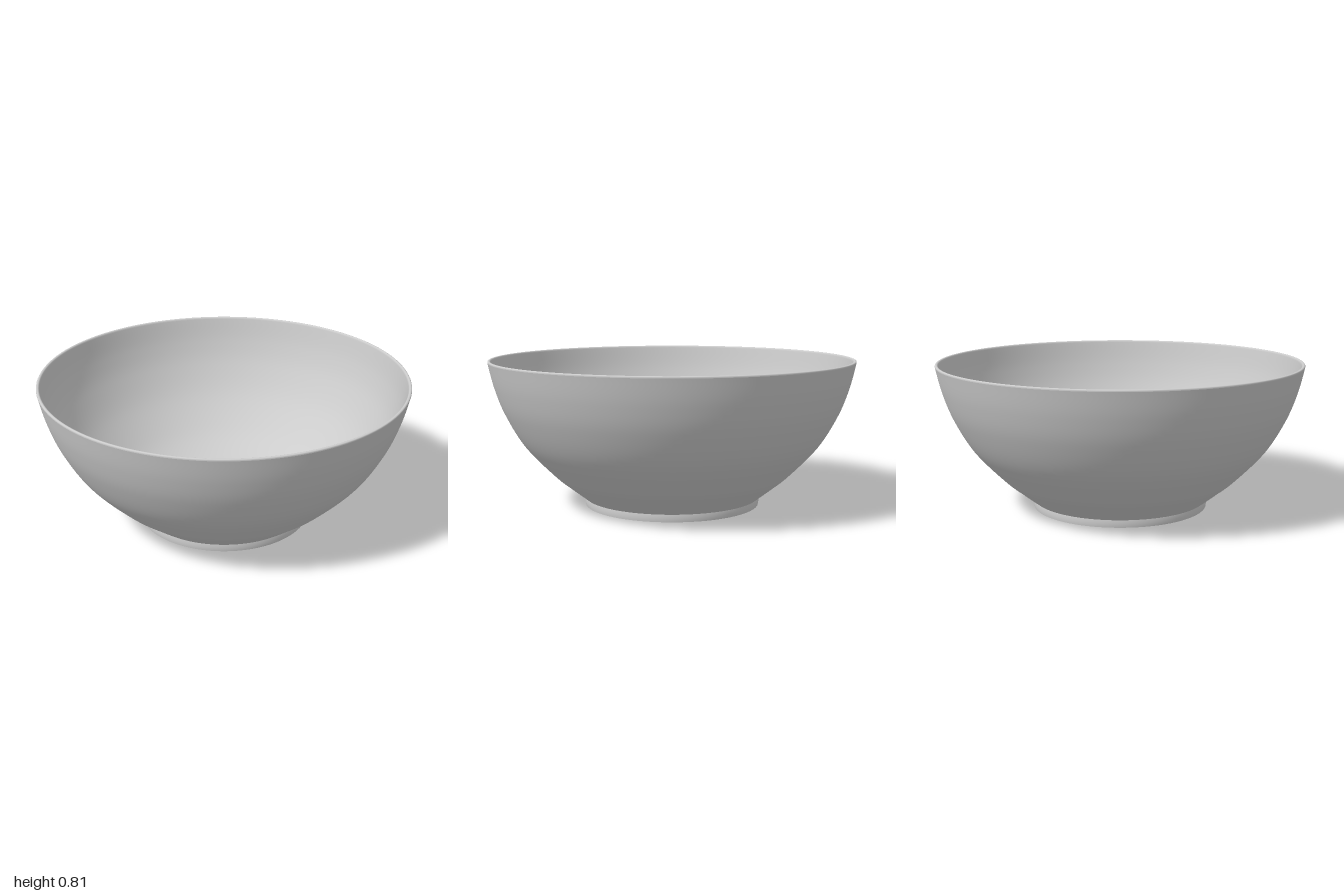
import * as THREE from 'three';

const material = new THREE.MeshStandardMaterial({ color: 0xcccccc });
const vec = ([r, y]) => new THREE.Vector2(r, y);

// Turn a profile around the y axis; separate meshes keep the creases sharp
function turned(name, points) {
  const mesh = new THREE.Mesh(new THREE.LatheGeometry(points, 128), material);
  mesh.name = name;
  return mesh;
}

const smooth = (points, n) => new THREE.SplineCurve(points.map(vec)).getPoints(n);

export function createModel() {
  const bowl = new THREE.Group();
  bowl.name = 'bowl';

  // Foot: flat underside and a short straight ring
  bowl.add(turned('footUnderside', [[0, 0], [0.48, 0]].map(vec)));
  bowl.add(turned('footRing', [[0.48, 0], [0.483, 0.02], [0.48, 0.04]].map(vec)));

  // Outer wall, flaring up to the rim
  bowl.add(turned('outerWall', smooth([
    [0.48, 0.04], [0.57, 0.11], [0.66, 0.185], [0.81, 0.345],
    [0.91, 0.515], [0.965, 0.66], [0.998, 0.795],
  ], 40)));

  // Thin rounded lip
  bowl.add(turned('rim', smooth([
    [0.998, 0.795], [0.997, 0.802], [0.99, 0.805], [0.983, 0.802], [0.98, 0.795],
  ], 10)));

  // Inside, running down to a gently flattened floor
  bowl.add(turned('innerWall', smooth([
    [0.98, 0.795], [0.947, 0.66], [0.892, 0.52], [0.792, 0.355],
    [0.645, 0.2], [0.52, 0.115], [0.4, 0.07], [0.25, 0.05], [0, 0.046],
  ], 56)));

  return bowl;
}
